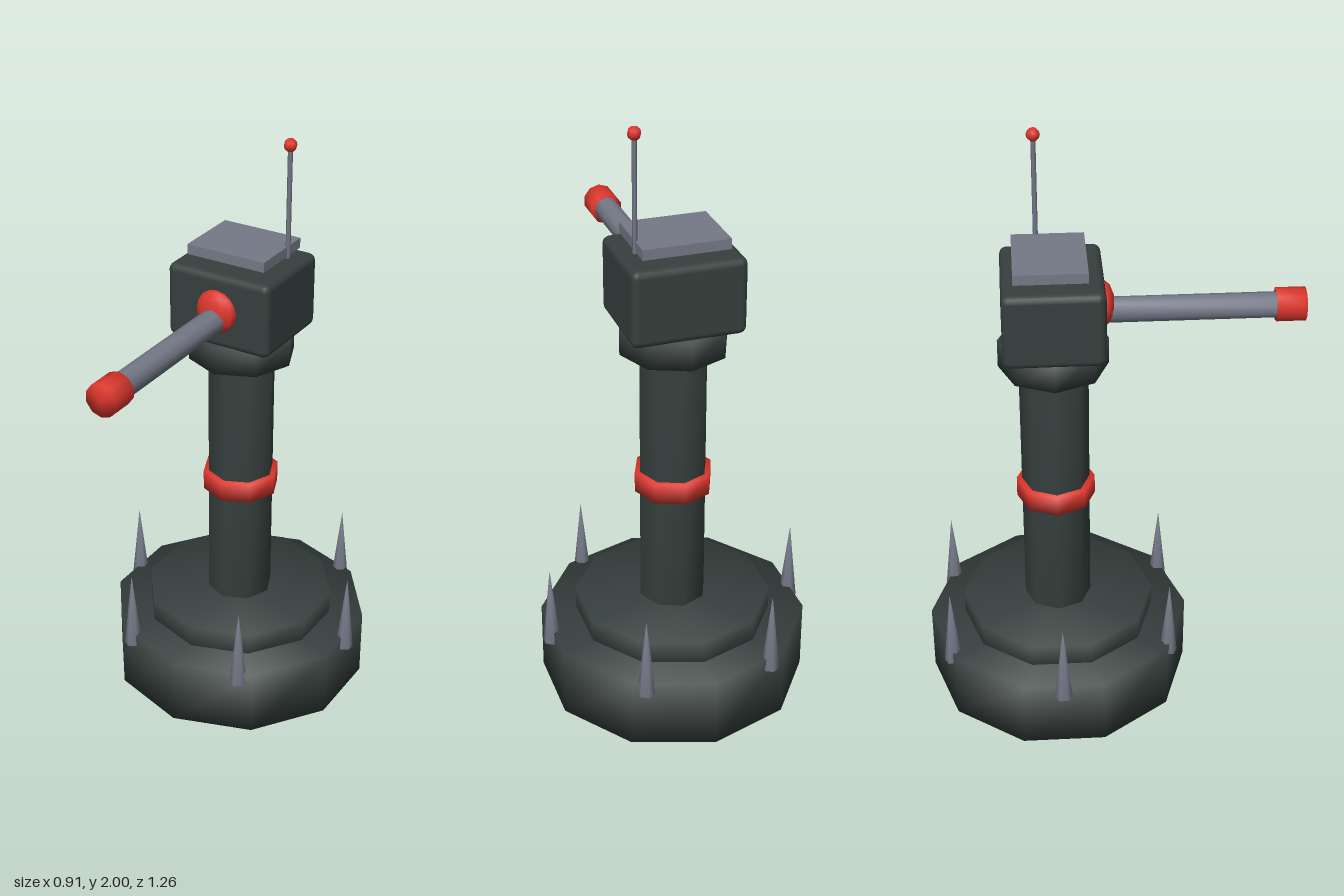
import * as THREE from 'three';
import { mergeVertices } from 'three/addons/utils/BufferGeometryUtils.js';
import { RoundedBoxGeometry } from 'three/addons/geometries/RoundedBoxGeometry.js';

const AXIS_Z = -0.18; // centre line of the tower

function material(name, color) {
  const m = new THREE.MeshStandardMaterial({ color });
  m.name = name;
  return m;
}

// Share vertices between sides and caps so shading rolls over the edges
function soften(geometry) {
  geometry.deleteAttribute('normal');
  geometry.deleteAttribute('uv');
  const g = mergeVertices(geometry);
  g.computeVertexNormals();
  return g;
}

export function createModel() {
  const model = new THREE.Group();
  const dark = material('dark green armour', 0x36403e);
  const red = material('red', 0xdc362c);
  const steel = material('grey steel', 0x757987);

  function add(name, geometry, mat, x, y, z, parent = model) {
    const mesh = new THREE.Mesh(geometry, mat);
    mesh.name = name;
    mesh.position.set(x, y, z);
    parent.add(mesh);
    return mesh;
  }

  // Upright drum between two heights on the tower axis
  function drum(name, r, y0, y1, sides, mat) {
    const g = soften(new THREE.CylinderGeometry(r, r, y1 - y0, sides));
    return add(name, g, mat, 0, (y0 + y1) / 2, AXIS_Z);
  }

  // Rod along z between two depths
  function rod(name, r, z0, z1, y, sides, mat) {
    const g = soften(new THREE.CylinderGeometry(r, r, z1 - z0, sides));
    g.rotateX(Math.PI / 2);
    return add(name, g, mat, 0, y, (z0 + z1) / 2);
  }

  // Base, column and collar
  drum('base', 0.45, 0, 0.24, 10, dark);
  drum('baseStep', 0.33, 0.2, 0.318, 10, dark);
  drum('column', 0.114, 0.3, 1.26, 8, dark);
  drum('columnBand', 0.132, 0.73, 0.8, 8, red);
  drum('collar', 0.18, 1.24, 1.335, 8, dark);

  // Ring of spikes around the base
  const spikes = new THREE.Group();
  spikes.name = 'spikes';
  model.add(spikes);
  const spike = soften(new THREE.ConeGeometry(0.03, 0.28, 6));
  for (let i = 0; i < 6; i++) {
    const a = (i * Math.PI) / 3;
    add('spike', spike, steel, 0.43 * Math.cos(a), 0.338, AXIS_Z + 0.43 * Math.sin(a), spikes);
  }

  // Head with a raised roof plate
  add('head', new RoundedBoxGeometry(0.374, 0.255, 0.326, 2, 0.024), dark, 0, 1.457, AXIS_Z);
  add('roofPlate', new THREE.BoxGeometry(0.284, 0.034, 0.234), steel, 0, 1.623, -0.187);

  // Gun
  const mount = add('gunMount', new THREE.SphereGeometry(0.073, 12, 8), red, 0, 1.46, -0.018);
  mount.scale.z = 0.5;
  rod('barrel', 0.042, -0.04, 0.56, 1.435, 10, steel);
  rod('muzzle', 0.055, 0.535, 0.63, 1.435, 10, red);

  // Antenna
  add('antennaRod', new THREE.CylinderGeometry(0.008, 0.008, 0.375, 6), steel, 0.141, 1.787, -0.225);
  add('antennaTip', new THREE.SphereGeometry(0.022, 8, 6), red, 0.141, 1.978, -0.225);

  return model;
}
